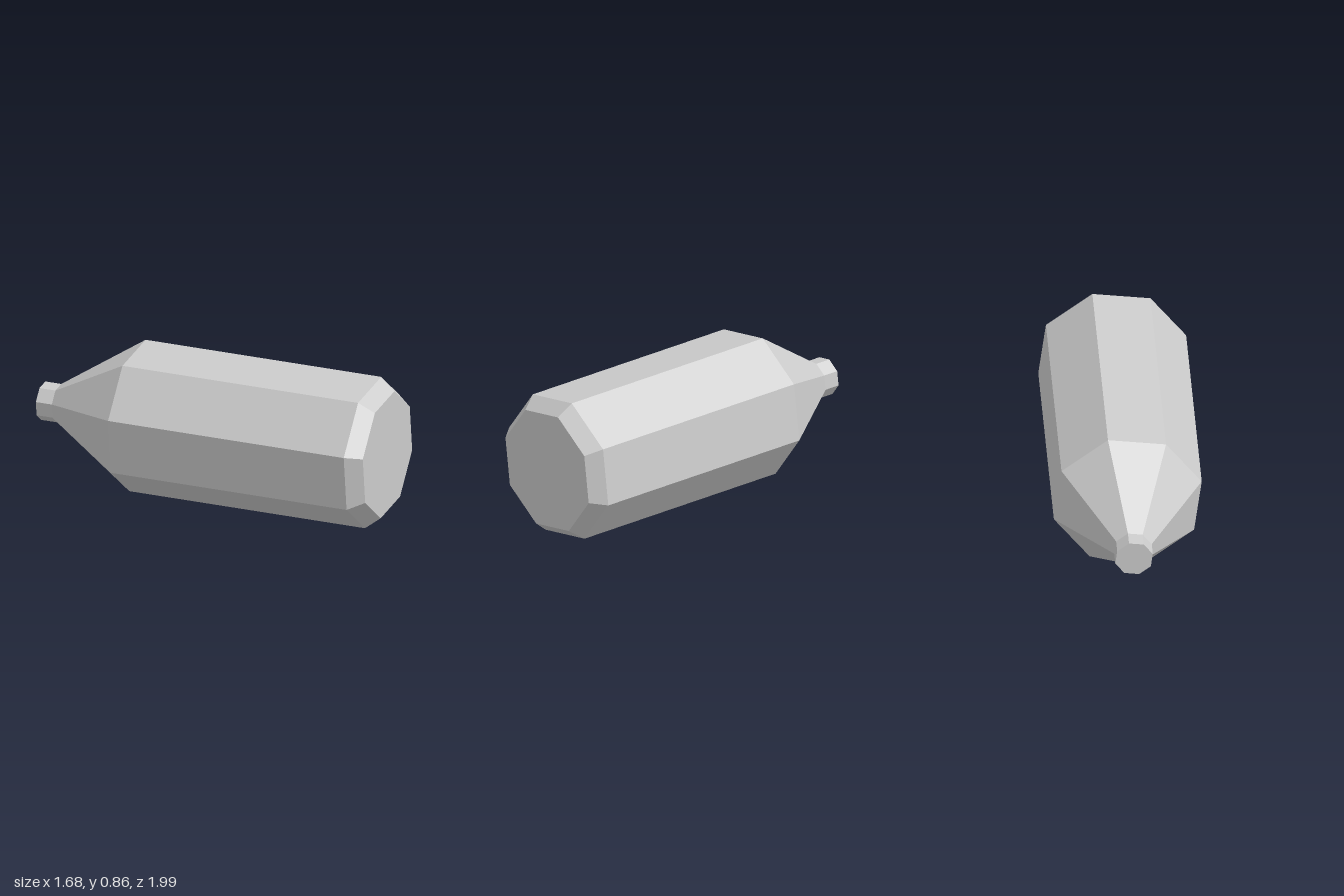
import * as THREE from 'three';

const SIDES = 8;

export function createModel() {
  const model = new THREE.Group();
  const bottle = new THREE.Group();
  bottle.name = 'bottle';
  model.add(bottle);

  const material = new THREE.MeshStandardMaterial({ color: 0xcccccc, flatShading: true });

  // Profiles as [radius, distance along the axis], from base to mouth
  const parts = {
    base: [[0, -0.957], [0.37, -0.957], [0.441, -0.867]],
    body: [[0.441, -0.867], [0.441, 0.61]],
    shoulder: [[0.441, 0.61], [0.112, 1.10]],
    neck: [[0.112, 1.10], [0.112, 1.20], [0, 1.20]],
  };

  for (const [name, profile] of Object.entries(parts)) {
    const points = profile.map(([r, y]) => new THREE.Vector2(r, y));
    const geometry = new THREE.LatheGeometry(points, SIDES, THREE.MathUtils.degToRad(15));
    const mesh = new THREE.Mesh(geometry, material);
    mesh.name = name;
    bottle.add(mesh);
  }

  // Lay the bottle on its side, the mouth pointing to the back right
  const axis = new THREE.Vector3(-0.61, 0.0037, -0.793).normalize();
  const across = new THREE.Vector3(0.793, 0, -0.61).normalize();
  const up = new THREE.Vector3().crossVectors(across, axis);
  bottle.quaternion.setFromRotationMatrix(new THREE.Matrix4().makeBasis(across, axis, up));
  bottle.position.set(-0.027, 0.429, 0.021);

  return model;
}
